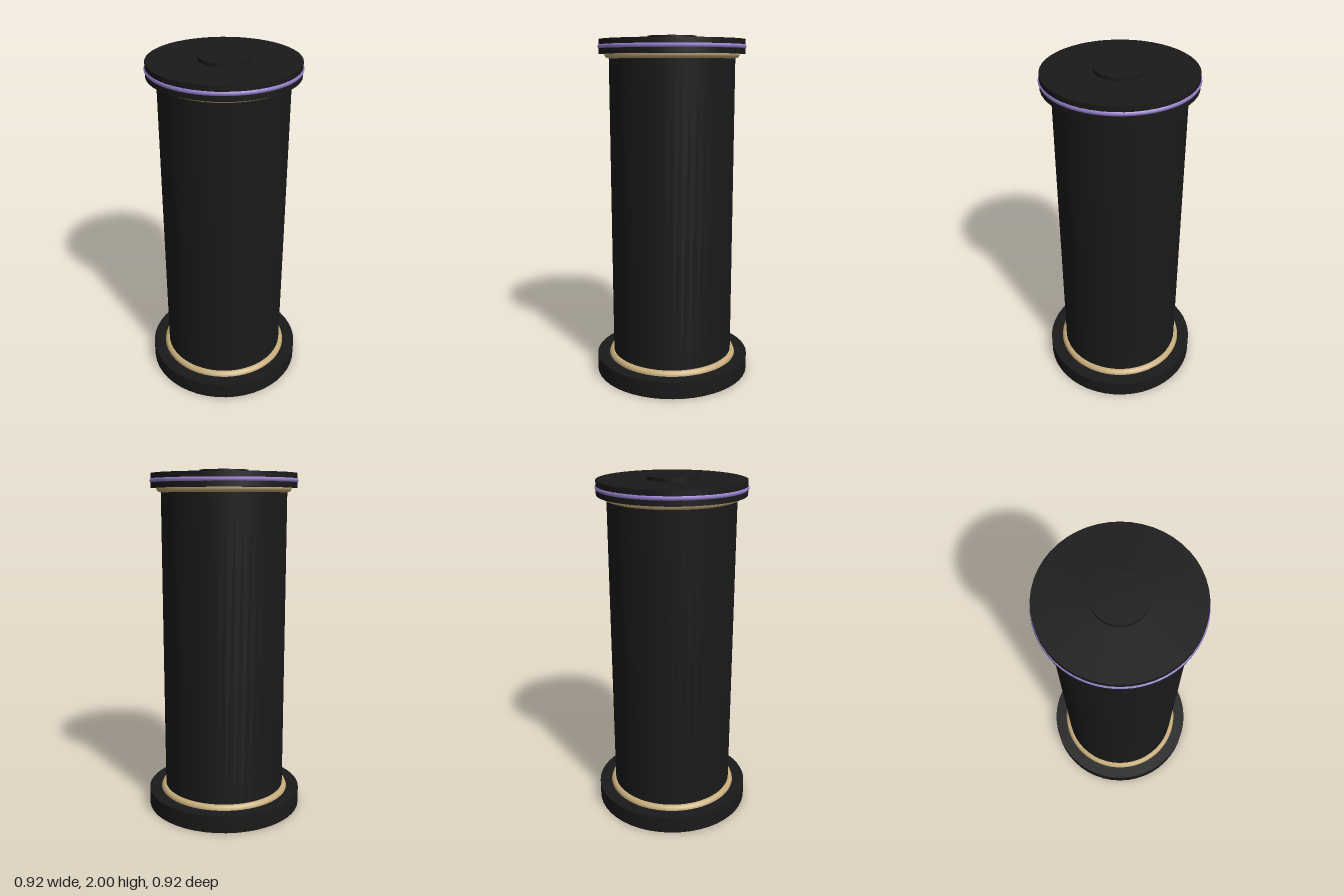
import * as THREE from 'three';

export function createModel() {
  const model = new THREE.Group();
  const black = new THREE.MeshStandardMaterial({ color: 0x1a1a1a });
  black.name = 'black';
  const gold = new THREE.MeshStandardMaterial({ color: 0xc9ae7c });
  gold.name = 'gold';
  const violet = new THREE.MeshStandardMaterial({ color: 0x9480cc });
  violet.name = 'violet';

  // Upright disc or column between two heights
  function disc(name, radius, bottom, top) {
    const mesh = new THREE.Mesh(
      new THREE.CylinderGeometry(radius, radius, top - bottom, 48), black);
    mesh.position.y = (bottom + top) / 2;
    mesh.name = name;
    model.add(mesh);
  }

  // Horizontal trim ring
  function ring(name, radius, tube, y, material) {
    const mesh = new THREE.Mesh(
      new THREE.TorusGeometry(radius, tube, 8, 64), material);
    mesh.rotation.x = Math.PI / 2;
    mesh.position.y = y;
    mesh.name = name;
    model.add(mesh);
  }

  // Pedestal body
  disc('base', 0.46, 0, 0.1);
  disc('column', 0.36, 0.1, 1.9);
  disc('cap', 0.416, 1.9, 1.98);
  disc('topPlate', 0.14, 1.98, 2);

  // Trim: half-sunk gold rings at each end of the column, violet band on the cap
  ring('lowerGoldRing', 0.361, 0.026, 0.1, gold);
  ring('upperGoldRing', 0.361, 0.026, 1.9, gold);
  ring('violetBand', 0.408, 0.014, 1.94, violet);

  return model;
}
